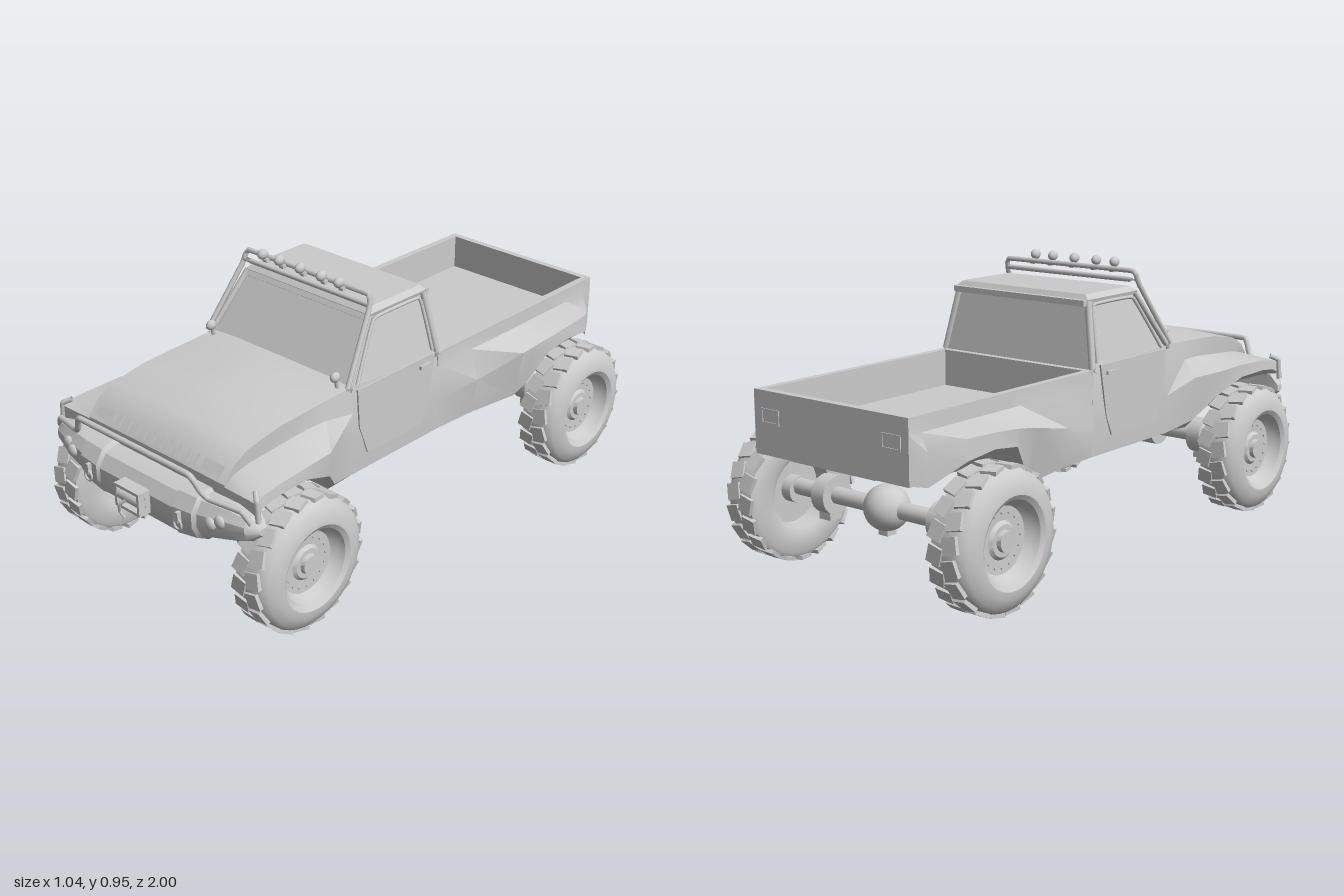
import * as THREE from 'three';
import { toCreasedNormals } from 'three/addons/utils/BufferGeometryUtils.js';

const mat = new THREE.MeshStandardMaterial({ color: 0xcccccc, side: THREE.DoubleSide });
const V = (x, y, z) => new THREE.Vector3(x, y, z);

export function createModel() {
  const model = new THREE.Group();

  function add(name, geo, pos = [0, 0, 0], rot = [0, 0, 0], parent = model) {
    const m = new THREE.Mesh(geo, mat);
    m.name = name;
    m.position.set(...pos);
    m.rotation.set(...rot);
    parent.add(m);
    return m;
  }
  const box = (name, size, pos, rot, parent) => add(name, new THREE.BoxGeometry(...size), pos, rot, parent);
  // Cylinder lying along x
  const axial = (name, r1, r2, len, pos, parent, seg = 20) =>
    add(name, new THREE.CylinderGeometry(r1, r2, len, seg), pos, [0, 0, -Math.PI / 2], parent);
  const tube = (name, pts, r) => add(name, new THREE.TubeGeometry(
    new THREE.CatmullRomCurve3(pts.map(p => V(...p)), false, 'catmullrom', 0.08), pts.length * 8, r, 8));

  // Skin closed rings of equal length; winding is fixed from the signed volume
  function loft(name, rings, caps = true) {
    const n = rings[0].length, pos = [], idx = [];
    rings.forEach(r => r.forEach(p => pos.push(...p)));
    for (let i = 0; i < rings.length - 1; i++) for (let j = 0; j < n; j++) {
      const a = i * n + j, b = i * n + (j + 1) % n;
      idx.push(a, b, b + n, a, b + n, a + n);
    }
    if (caps) [0, rings.length - 1].forEach(i => {
      const c = pos.length / 3;
      pos.push(...[0, 1, 2].map(k => rings[i].reduce((s, p) => s + p[k], 0) / n));
      for (let j = 0; j < n; j++) {
        const a = i * n + j, b = i * n + (j + 1) % n;
        if (i) idx.push(a, b, c); else idx.push(b, a, c);
      }
    });
    const at = i => V(pos[3 * i], pos[3 * i + 1], pos[3 * i + 2]);
    let vol = 0;
    for (let t = 0; t < idx.length; t += 3) vol += at(idx[t]).dot(at(idx[t + 1]).cross(at(idx[t + 2])));
    if (vol < 0) idx.reverse();
    const g = new THREE.BufferGeometry();
    g.setAttribute('position', new THREE.Float32BufferAttribute(pos, 3));
    g.setIndex(idx);
    return add(name, toCreasedNormals(g, 0.5));
  }
  // Half section (x, y) mirrored into a ring at z
  const mirrored = (half, z) => [...half.map(([x, y]) => [x, y, z]),
    ...half.slice().reverse().map(([x, y]) => [-x, y, z])];

  // Bonnet, fenders and lower cab: z, crown y, edge y, crease x/y, flare x/y, bottom x/y, underside y
  loft('frontBody', [
    [-0.13, 0.62, 0.62, 0.328, 0.55, 0.332, 0.45, 0.325, 0.335, 0.335],
    [0.30, 0.662, 0.65, 0.328, 0.56, 0.332, 0.47, 0.325, 0.335, 0.335],
    [0.42, 0.667, 0.645, 0.325, 0.58, 0.37, 0.52, 0.36, 0.365, 0.335],
    [0.50, 0.663, 0.642, 0.32, 0.58, 0.42, 0.535, 0.415, 0.45, 0.44],
    [0.62, 0.652, 0.635, 0.315, 0.57, 0.44, 0.545, 0.44, 0.50, 0.48],
    [0.75, 0.625, 0.612, 0.315, 0.56, 0.445, 0.54, 0.448, 0.505, 0.48],
    [0.81, 0.588, 0.58, 0.315, 0.548, 0.45, 0.535, 0.453, 0.50, 0.48],
    [0.85, 0.53, 0.528, 0.315, 0.522, 0.45, 0.52, 0.453, 0.485, 0.46],
  ].map(([z, yt, ye, cx, cy, fx, fy, bx, by, yu]) => mirrored(
    [[0.1, yt], [0.318, ye], [cx, cy], [fx, fy], [bx, by], [bx - 0.03, yu], [0.1, yu]], z)));

  // Load bed with flared rear fenders: z, flare x/y, bottom x/y, underside y
  loft('loadBed', [
    [-0.13, 0.332, 0.45, 0.325, 0.335, 0.335],
    [-0.30, 0.36, 0.47, 0.335, 0.335, 0.335],
    [-0.50, 0.402, 0.515, 0.365, 0.335, 0.335],
    [-0.54, 0.41, 0.525, 0.385, 0.37, 0.36],
    [-0.63, 0.422, 0.54, 0.422, 0.485, 0.47],
    [-0.74, 0.426, 0.55, 0.428, 0.5, 0.475],
    [-0.85, 0.415, 0.55, 0.42, 0.485, 0.47],
    [-0.95, 0.352, 0.52, 0.352, 0.415, 0.45],
    [-1.0, 0.326, 0.5, 0.325, 0.425, 0.45],
  ].map(([z, fx, fy, bx, by, yu]) => mirrored([[0.1, 0.5], [0.3, 0.5], [0.3, 0.626], [0.325, 0.626],
    [0.326, 0.575], [fx, fy], [bx, by], [bx - 0.025, yu], [0.1, yu]], z)), false);
  box('bedFrontWall', [0.65, 0.15, 0.025], [0, 0.551, -0.135]);
  box('tailgate', [0.65, 0.205, 0.025], [0, 0.5235, -0.9875]);
  box('rearSill', [0.36, 0.02, 0.03], [0, 0.425, -0.975]);

  // Cab glasshouse, roof and pillars
  const rect = (x, y, zb, zf) => [[x, y, zb], [x, y, zf], [-x, y, zf], [-x, y, zb]];
  loft('cabGlasshouse', [rect(0.32, 0.615, -0.125, 0.325), rect(0.272, 0.85, -0.09, 0.165)]);
  loft('roof', [rect(0.28, 0.838, -0.1, 0.18), rect(0.283, 0.85, -0.1, 0.178), rect(0.265, 0.866, -0.088, 0.16)]);
  box('windscreenBottomRail', [0.62, 0.018, 0.016], [0, 0.667, 0.298], [-0.6, 0, 0]);
  box('windscreenTopRail', [0.54, 0.018, 0.012], [0, 0.838, 0.18], [-0.6, 0, 0]);
  box('rearWindowRail', [0.56, 0.02, 0.03], [0, 0.84, -0.104]);

  for (const s of [1, -1]) {
    tube('windscreenPillar', [[s * 0.322, 0.64, 0.315], [s * 0.277, 0.845, 0.172]], 0.011);
    tube('rearPillar', [[s * 0.322, 0.615, -0.122], [s * 0.277, 0.845, -0.09]], 0.012);
    tube('doorWindowFrame', [[s * 0.321, 0.645, 0.275], [s * 0.282, 0.83, 0.155],
      [s * 0.282, 0.83, -0.07], [s * 0.321, 0.645, -0.095]], 0.006);
    // Door skin with a slanted rear edge
    const door = new THREE.Shape([[-0.285, 0.64], [-0.275, 0.5], [-0.235, 0.395], [0.03, 0.395], [0.06, 0.46], [0.095, 0.64]]
      .map(p => new THREE.Vector2(...p)));
    add('door', new THREE.ExtrudeGeometry(door, { depth: 0.006, bevelEnabled: false }),
      [s > 0 ? 0.329 : -0.335, 0, 0], [0, Math.PI / 2, 0]);
    box('doorHandle', [0.01, 0.012, 0.05], [s * 0.339, 0.61, -0.04]);
    // Scuttle lamps
    tube('scuttleLampStalk', [[s * 0.287, 0.65, 0.33], [s * 0.287, 0.68, 0.335]], 0.007);
    const lamp = add('scuttleLamp', new THREE.SphereGeometry(0.016, 14, 10), [s * 0.287, 0.69, 0.34]);
    lamp.scale.set(0.9, 1.1, 1.2);
    // Headlamp and tail lamp surrounds
    box('headlamp', [0.085, 0.034, 0.012], [s * 0.25, 0.555, 0.83], [-0.67, 0, 0]);
    const frame = new THREE.Shape([[-0.04, -0.025], [0.04, -0.025], [0.04, 0.025], [-0.04, 0.025]].map(p => new THREE.Vector2(...p)));
    frame.holes.push(new THREE.Path([[-0.032, -0.017], [-0.032, 0.017], [0.032, 0.017], [0.032, -0.017]].map(p => new THREE.Vector2(...p))));
    add('tailLampSurround', new THREE.ExtrudeGeometry(frame, { depth: 0.005, bevelEnabled: false }), [s * 0.255, 0.545, -1.003]);
  }

  // Grille slots
  for (let i = 0; i < 10; i++)
    box('grilleSlot', [0.014, 0.04, 0.012], [-0.18 + i * 0.04, 0.555, 0.83], [-0.67, 0, 0]);

  // Roof lamp rack
  const sides = (half) => [...half, ...half.slice().reverse().map(([x, y, z]) => [-x, y, z])];
  tube('lampRack', sides([[0.325, 0.655, 0.322], [0.288, 0.87, 0.185], [0.283, 0.9, 0.175], [0.268, 0.917, 0.17]]), 0.009);
  tube('rackCrossBar', [[-0.285, 0.885, 0.18], [0.285, 0.885, 0.18]], 0.009);
  for (const x of [-0.173, -0.095, 0, 0.095, 0.173]) {
    axial('roofLampBracket', 0.009, 0.009, 0.018, [x, 0.912, 0.185]);
    const lamp = add('roofLamp', new THREE.SphereGeometry(0.017, 14, 10), [x, 0.937, 0.2]);
    lamp.scale.set(0.9, 1.05, 1.25);
  }

  // Front bumper, sections along x: x, low y, high y, back z, front z
  const half = [[0, 0.31, 0.488, 0.8, 0.935], [0.17, 0.31, 0.488, 0.8, 0.935], [0.18, 0.31, 0.502, 0.8, 0.942],
    [0.26, 0.325, 0.502, 0.8, 0.937], [0.27, 0.335, 0.492, 0.81, 0.925], [0.38, 0.37, 0.495, 0.82, 0.91],
    [0.44, 0.39, 0.48, 0.82, 0.89], [0.47, 0.415, 0.44, 0.825, 0.855]];
  loft('frontBumper', [...half.slice(1).reverse().map(([x, ...r]) => [-x, ...r]), ...half].map(([x, y0, y1, z0, z1]) => {
    const ring = [[0, 0.15], [0.5, 0], [0.85, 0.15], [1, 0.4], [1, 0.68], [0.8, 0.92], [0.5, 1], [0, 0.95]];
    return ring.map(([u, v]) => [x, y0 + (y1 - y0) * v, z0 + (z1 - z0) * u]);
  }));
  tube('bullBar', sides([[0.45, 0.46, 0.87], [0.425, 0.5, 0.885], [0.31, 0.507, 0.91], [0.285, 0.53, 0.92], [0.255, 0.578, 0.935]]), 0.01);
  for (const s of [1, -1]) {
    for (const [x, y, z] of [[0.325, 0.43, 0.92], [0.357, 0.445, 0.91]]) {
      const lamp = add('spotLamp', new THREE.SphereGeometry(0.022, 14, 10), [s * x, y, z]);
      lamp.scale.z = 0.6;
    }
    tube('bumperEndTube', [[s * 0.43, 0.545, 0.83], [s * 0.455, 0.53, 0.85], [s * 0.46, 0.46, 0.85]], 0.009);
    add('shackle', new THREE.TorusGeometry(0.017, 0.004, 8, 16), [s * 0.212, 0.395, 0.95]);
    box('shackleMount', [0.012, 0.035, 0.03], [s * 0.212, 0.42, 0.94]);
  }

  // Winch with fairlead and hook line
  box('winchPlate', [0.115, 0.08, 0.02], [0.012, 0.41, 0.945]);
  for (const y of [0.375, 0.445]) box('winchRail', [0.115, 0.01, 0.03], [0.012, y, 0.965]);
  for (const x of [-0.04, 0.064]) box('winchCheek', [0.01, 0.08, 0.03], [x, 0.41, 0.965]);
  axial('winchDrum', 0.02, 0.02, 0.1, [0.012, 0.41, 0.96]);
  tube('winchLine', [[0.01, 0.41, 0.98], [-0.01, 0.39, 0.992], [-0.02, 0.36, 0.985], [-0.01, 0.335, 0.975]], 0.005);

  // Wheel: lathe profile (radius, offset outward), turned onto x
  const profile = [[0, 0], [0.112, 0], [0.12, -0.05], [0.14, -0.06], [0.205, -0.06], [0.22, -0.05], [0.223, -0.02],
    [0.223, 0.035], [0.215, 0.055], [0.2, 0.068], [0.17, 0.082], [0.145, 0.084], [0.13, 0.074], [0.122, 0.05], [0.105, 0.032],
    [0.06, 0.03], [0.05, 0.04], [0.034, 0.04], [0.032, 0.055], [0, 0.055]].map(p => new THREE.Vector2(...p));
  const tyre = toCreasedNormals(new THREE.LatheGeometry(profile, 40).rotateZ(-Math.PI / 2), 0.6);
  function wheel(s, z) {
    const w = new THREE.Group();
    w.name = z > 0 ? 'frontWheel' : 'rearWheel';
    w.position.set(s * 0.435, 0.234, z);
    w.rotation.y = s > 0 ? 0 : Math.PI;
    add('tyreAndRim', tyre, [0, 0, 0], [0, 0, 0], w);
    const n = 20;
    for (let i = 0; i < n; i++) for (const side of [-1, 1]) {
      const a = (i + (side > 0 ? 0.5 : 0)) * 2 * Math.PI / n;
      const pivot = new THREE.Group();
      pivot.rotation.x = a;
      w.add(pivot);
      box('treadBlock', [0.052, 0.014, 0.054], [side * 0.028 - 0.003, 0.2225, 0], [0, side * 0.25, 0], pivot);
    }
    for (let i = 0; i < 16; i++) {
      const a = i * Math.PI / 8;
      axial('rimStud', 0.005, 0.005, 0.006, [0.033, 0.085 * Math.cos(a), 0.085 * Math.sin(a)], w, 8);
    }
    model.add(w);
  }

  // Axles, differentials, hubs and propeller shaft
  for (const z of [0.66, -0.76]) {
    axial('axle', 0.028, 0.028, 0.86, [0, 0.25, z]);
    for (const s of [1, -1]) {
      wheel(s, z);
      axial('axleKnuckle', 0.064, 0.064, 0.055, [s * 0.248, 0.25, z]);
      axial('axleKnuckleCone', s > 0 ? 0.035 : 0.064, s > 0 ? 0.064 : 0.035, 0.03, [s * 0.29, 0.25, z]);
      box('knuckleFoot', [0.05, 0.03, 0.05], [s * 0.255, 0.182, z]);
      axial('wheelHub', 0.045, 0.045, 0.05, [s * 0.42, 0.238, z]);
    }
  }
  axial('frontDifferential', 0.062, 0.062, 0.125, [0, 0.248, 0.66]);
  add('rearDifferential', new THREE.SphereGeometry(0.075, 24, 16), [0, 0.25, -0.76]);
  box('differentialFoot', [0.04, 0.035, 0.04], [0, 0.18, -0.76]);
  add('propellerShaft', new THREE.CylinderGeometry(0.045, 0.045, 0.97, 20), [0, 0.345, -0.045], [Math.PI / 2, 0, 0]);
  return model;
}
